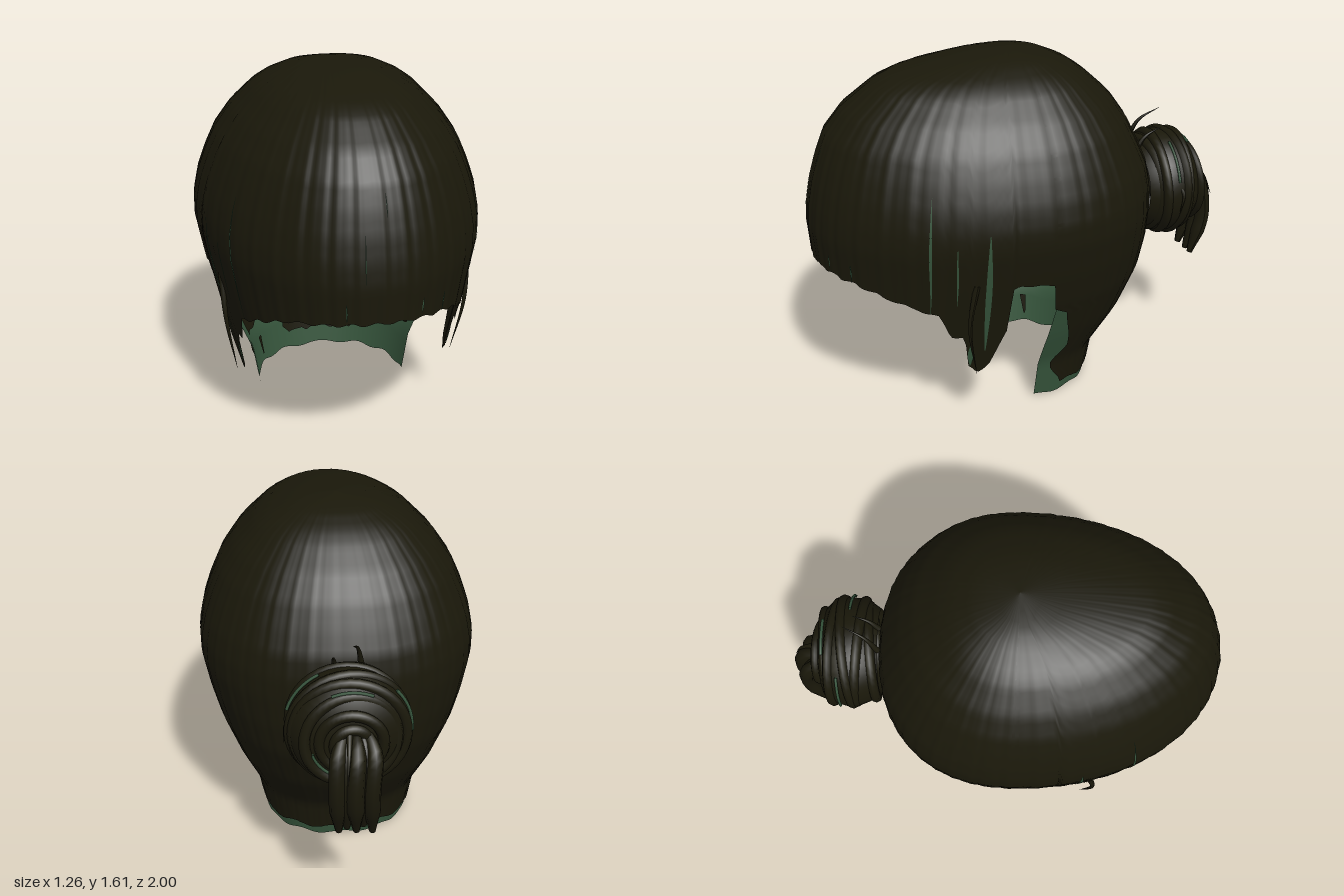
import * as THREE from 'three';

const hairMat = new THREE.MeshStandardMaterial({ color: 0x1a180a, side: THREE.DoubleSide });
hairMat.name = 'dark hair';
const scalpMat = new THREE.MeshStandardMaterial({ color: 0x36553c, side: THREE.DoubleSide });
scalpMat.name = 'green scalp';

// Head cross-sections: [height, half width, front z, back z]
const SECTIONS = [
  [0, 0.36, 0.99, -0.3], [0.2, 0.395, 0.99, -0.33], [0.4, 0.485, 0.99, -0.46], [0.6, 0.56, 0.99, -0.54],
  [0.75, 0.6, 0.99, -0.565], [0.9, 0.63, 1, -0.57], [1, 0.63, 0.99, -0.565], [1.1, 0.61, 0.97, -0.545],
  [1.2, 0.575, 0.94, -0.5], [1.3, 0.53, 0.9, -0.45], [1.4, 0.46, 0.82, -0.38], [1.5, 0.36, 0.69, -0.27],
  [1.54, 0.3, 0.6, -0.21], [1.58, 0.21, 0.4, -0.12], [1.6, 0.14, 0.25, -0.03], [1.615, 0, 0.07, 0.07],
];
const TOP = 1.615, ZC = 0.07;

// Linear lookup in a table of rows sorted by their first entry
function lookup(table, key, column = 1) {
  if (key <= table[0][0]) return table[0][column];
  for (let i = 1; i < table.length; i++) {
    const a = table[i - 1], b = table[i];
    if (key <= b[0]) return a[column] + (b[column] - a[column]) * (key - a[0]) / (b[0] - a[0]);
  }
  return table[table.length - 1][column];
}

// Point on the head: angle 0 is the left side, PI/2 the front, -PI/2 the back
function headPoint(angle, y, scale) {
  const c = Math.cos(angle), s = Math.sin(angle), front = s >= 0;
  const e = front ? 1 : 0.88;
  let w = lookup(SECTIONS, y, 1);
  if (front && y < 0.75) w = 0.6 - (0.75 - y) * 0.23;
  const depth = front ? lookup(SECTIONS, y, 2) - ZC : ZC - lookup(SECTIONS, y, 3);
  return [
    Math.sign(c) * Math.abs(c) ** e * w * scale, y,
    ZC + Math.sign(s) * Math.abs(s) ** e * depth * scale,
  ];
}

// Grid surface from a rule mapping (u, v) to a point
function surface(nu, nv, rule) {
  const pos = [], index = [];
  for (let i = 0; i <= nu; i++) for (let j = 0; j <= nv; j++) pos.push(...rule(i / nu, j / nv));
  for (let i = 0; i < nu; i++) for (let j = 0; j < nv; j++) {
    const a = i * (nv + 1) + j, b = a + nv + 1;
    index.push(a, b, a + 1, b, b + 1, a + 1);
  }
  const g = new THREE.BufferGeometry();
  g.setAttribute('position', new THREE.Float32BufferAttribute(pos, 3));
  g.setIndex(index);
  g.computeVertexNormals();
  return g;
}

// Tapered strand along a smooth path
function strand(points, radius, taper) {
  const curve = new THREE.CatmullRomCurve3(points.map(p => new THREE.Vector3(...p)));
  const n = 16, sides = 8;
  const g = new THREE.TubeGeometry(curve, n, 1, sides, false);
  const p = g.attributes.position, v = new THREE.Vector3();
  for (let i = 0; i <= n; i++) {
    const c = curve.getPointAt(i / n);
    for (let j = 0; j <= sides; j++) {
      const k = i * (sides + 1) + j;
      v.fromBufferAttribute(p, k).sub(c).multiplyScalar(radius * taper(i / n)).add(c);
      p.setXYZ(k, v.x, v.y, v.z);
    }
  }
  g.computeVertexNormals();
  return g;
}

export function createModel() {
  const model = new THREE.Group();
  model.name = 'hairstyle';
  const add = (name, geometry, material, parent = model) => {
    const m = new THREE.Mesh(geometry, material);
    m.name = name;
    parent.add(m);
    return m;
  };
  const ridge = a => 1 + 0.002 * Math.sin(a * 46) + 0.0015 * Math.sin(a * 83);

  // Fringe and side locks: hem height by depth
  const hem = [[0.07, 0.715], [0.22, 0.745], [0.25, 0.72], [0.26, 0.5], [0.33, 0.32], [0.38, 0.27], [0.42, 0.31],
    [0.44, 0.48], [0.5, 0.49], [0.55, 0.6], [0.7, 0.66], [0.85, 0.72], [1, 0.75]];
  add('fringe and side locks', surface(180, 36, (u, v) => {
    const a = -0.04 + u * (Math.PI + 0.08);
    const low = lookup(hem, ZC + 0.92 * Math.sin(a)) + 0.006 * Math.sin(a * 37);
    return headPoint(a, TOP - (TOP - low) * v ** 1.6, ridge(a));
  }), hairMat);

  // Back hair, with ragged front edges
  const cut = [[0.05, 0.32], [0.1, 0.26], [0.15, 0.15], [0.2, 0.13], [0.3, 0.25], [0.5, 0.13], [0.55, 0.11], [0.57, 0.03], [0.75, 0]];
  add('back hair', surface(140, 60, (u, v) => {
    const low = 0.055 + 0.01 * Math.sin(u * 30);
    const y = TOP - (TOP - low) * v ** 1.4, k = lookup(cut, y);
    const a = -k - u * (Math.PI - 2 * k);
    return headPoint(a, y, ridge(a));
  }), hairMat);

  // Scalp showing at the nape and behind the ears
  const scalpCut = [[0, 0], [0.3, 0.02], [0.72, 0.06]];
  add('nape scalp', surface(72, 16, (u, v) => {
    const y = 0.75 - v * (0.74 - 0.008 * Math.cos(u * 38)), k = lookup(scalpCut, y);
    return headPoint(-k - u * (Math.PI - 2 * k), y, 0.98);
  }), scalpMat);

  // Inner hair lining, parted by a narrow gap
  const mid = -Math.PI / 2;
  for (const [name, from, to] of [['left lining', -0.12, mid + 0.13], ['right lining', mid + 0.02, -Math.PI + 0.12]]) {
    add(name, surface(40, 12, (u, v) =>
      headPoint(from + (to - from) * u, 0.78 - v * (0.545 + 0.008 * Math.sin(u * 25)), 0.96)), hairMat);
  }

  // Loose ragged patches inside the nape: half height along the patch
  const ragged = [[0, 0.004], [0.28, 0.042], [0.4, 0.028], [0.7, 0.038], [0.8, 0.045], [1, 0.012]];
  for (const side of [-1, 1]) {
    add('nape patch', surface(20, 2, (u, v) =>
      headPoint(mid + side * (0.005 + 0.5 * u), 0.125 + 0.02 * u + (v - 0.5) * 2 * lookup(ragged, u), 0.955)), hairMat);
  }
  add('small nape patch', surface(3, 3, (u, v) =>
    headPoint(mid - 1.02 - 0.09 * u * (1 - 0.7 * v), 0.16 - 0.1 * v, 0.955)), hairMat);

  // Slender scalp slivers between the strands: [angle, low, high, width]
  const sideSlivers = [[0.31, 0.4, 1.0, 0.03], [0.59, 0.62, 1.16, 0.014], [0.46, 0.66, 0.95, 0.01], [0.38, 0.32, 0.44, 0.03]];
  const frontSlivers = [[1.25, 0.76, 0.83, 0.014], [1.77, 0.76, 0.84, 0.012], [1.65, 0.92, 1.12, 0.008],
    [1.5, 1.17, 1.27, 0.008], [1.06, 0.73, 0.82, 0.014]];
  const sliver = (a, low, high, width) => add('scalp sliver', surface(2, 10, (u, v) =>
    headPoint(a + (u - 0.5) * width * Math.sin(Math.PI * (0.04 + 0.92 * v)), low + (high - low) * v, 1.006)), scalpMat);
  for (const [a, ...rest] of sideSlivers) {
    sliver(a, ...rest);
    sliver(Math.PI - a, ...rest);
  }
  for (const s of frontSlivers) sliver(...s);

  // Fine wisps hanging beside the face
  for (const side of [-1, 1]) {
    add('face wisp', strand([[side * 0.55, 0.76, 0.4], [side * 0.54, 0.55, 0.43], [side * 0.495, 0.28, 0.39]],
      0.016, t => 1 - 0.97 * t), hairMat);
  }

  // Bun: a rounded core wound with coils
  const bun = new THREE.Group();
  bun.name = 'bun';
  bun.position.set(0.02, 0.88, 0);
  model.add(bun);
  const core = [[0.2, 0.565], [0.225, 0.6], [0.25, 0.66], [0.255, 0.72], [0.24, 0.78], [0.19, 0.83], [0.1, 0.855], [0, 0.86]]
    .map(([r, z]) => new THREE.Vector2(r, z));
  add('bun core', new THREE.LatheGeometry(core, 40).rotateX(-Math.PI / 2), hairMat, bun);
  const coils = [[0.215, -0.605], [0.238, -0.66], [0.244, -0.715], [0.232, -0.77], [0.19, -0.82], [0.13, -0.845], [0.07, -0.855]];
  coils.forEach(([r, z], i) => {
    const coil = add('bun coil', new THREE.TorusGeometry(r, 0.024, 8, 40), hairMat, bun);
    coil.position.z = z;
    coil.rotation.set(0.06 * Math.sin(i * 2), 0.08 * Math.cos(i * 3), 0);
  });
  // Scalp-coloured bands caught in the winding
  for (const [r, z, start] of [[0.262, -0.69, 0.3], [0.26, -0.745, 2.4], [0.215, -0.81, 4], [0.215, -0.815, 1.2], [0.165, -0.845, 5.2]]) {
    const band = add('bun band', new THREE.TorusGeometry(r, 0.007, 5, 16, 0.8), scalpMat, bun);
    band.position.z = z;
    band.rotation.z = start;
  }

  // Short tail falling from the bun
  for (let i = 0; i < 5; i++) {
    const x = -0.065 + i * 0.035, d = 0.025 * Math.sin(i * 2.3);
    add('tail strand', strand([[x * 0.6, 0.93, -0.83], [x, 0.87, -0.9 + d], [x + 0.01, 0.7, -0.935 + d], [x, 0.47 + Math.abs(d), -0.885 + d]],
      0.036, t => Math.min(1, 0.5 + 2 * t) * (t > 0.75 ? 1 - 2.4 * (t - 0.75) : 1)), hairMat);
  }

  // Flyaway wisps around the bun
  const wisps = [
    [[-0.05, 1.08, -0.56], [-0.03, 1.18, -0.61], [0, 1.24, -0.7]],
    [[0.06, 1.07, -0.56], [0.07, 1.13, -0.6], [0.08, 1.17, -0.67]],
    [[0.03, 0.94, -0.86], [0.04, 0.88, -0.94], [0.05, 0.77, -0.99]],
    [[0.22, 0.95, -0.68], [0.275, 0.9, -0.71], [0.285, 0.8, -0.69]],
  ];
  wisps.forEach(points => add('bun wisp', strand(points, 0.014, t => 1 - 0.95 * t), hairMat));

  return model;
}
